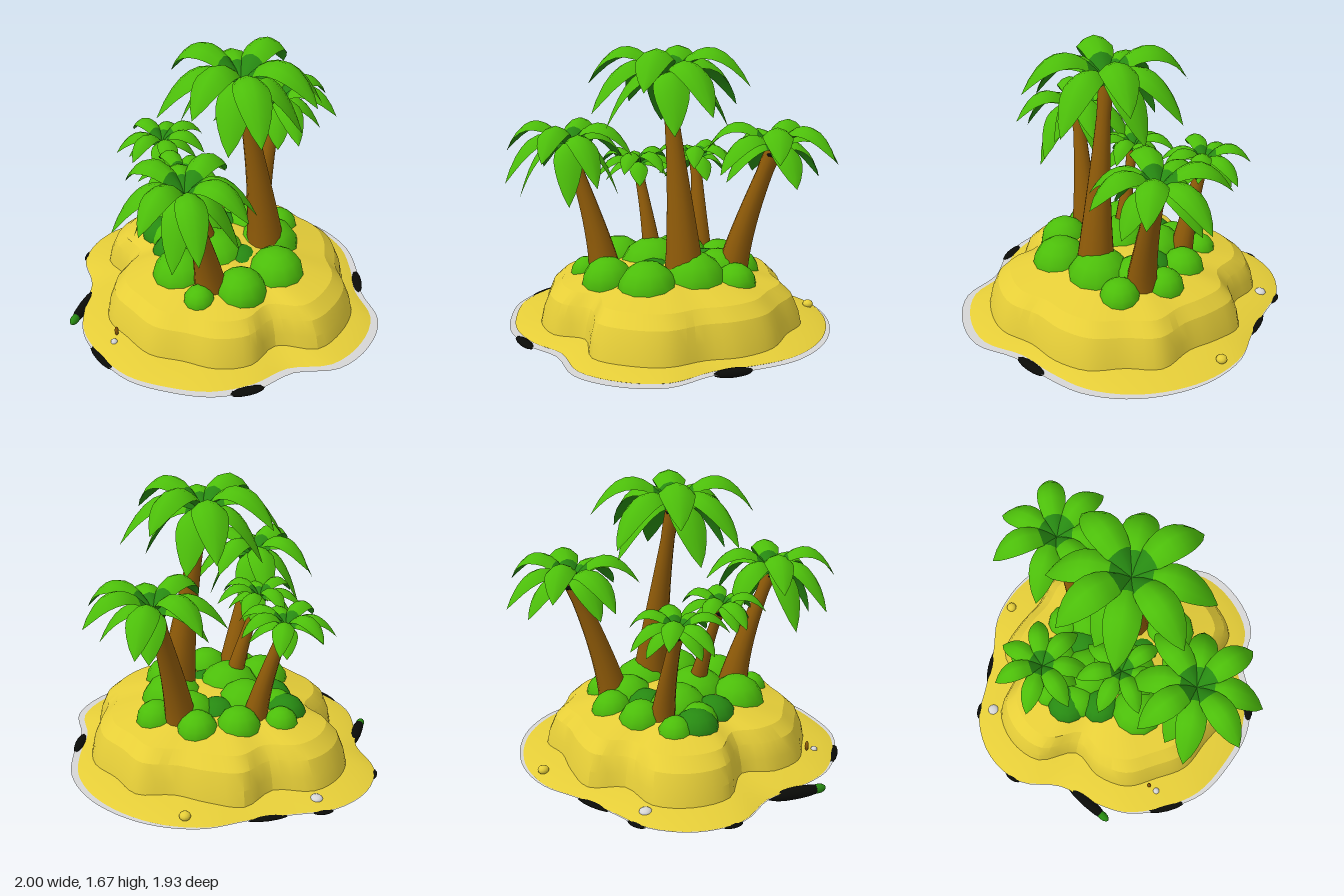
import * as THREE from 'three';
import { mergeGeometries, toCreasedNormals } from 'three/addons/utils/BufferGeometryUtils.js';

const mat = (name, color, side = THREE.FrontSide) => {
  const m = new THREE.MeshStandardMaterial({ color, side });
  m.name = name;
  return m;
};
const V = (x, y, z) => new THREE.Vector3(x, y, z);

// Skin over rows of points; columns wrap around when closed
function skin(rows, closed, flip = false) {
  const n = rows[0].length, pos = [], idx = [];
  rows.forEach(r => r.forEach(p => pos.push(p.x, p.y, p.z)));
  for (let i = 0; i < rows.length - 1; i++) {
    for (let j = 0; j < (closed ? n : n - 1); j++) {
      const k = (j + 1) % n, a = i * n + j, b = a + n, c = i * n + k, d = c + n;
      if (flip) idx.push(a, b, c, c, b, d);
      else idx.push(a, c, b, c, d, b);
    }
  }
  const g = new THREE.BufferGeometry();
  g.setAttribute('position', new THREE.Float32BufferAttribute(pos, 3));
  g.setIndex(idx);
  g.computeVertexNormals();
  return g;
}

// Smooth closed outline from radii (in hundredths) at even angles, from +x towards +z
function outline(radii) {
  const pts = radii.map((r, i) => {
    const a = i / radii.length * Math.PI * 2;
    return V(r / 100 * Math.cos(a), 0, r / 100 * Math.sin(a));
  });
  return new THREE.CatmullRomCurve3(pts, true).getPoints(96).slice(0, -1);
}
const ring = (line, s, y, dx = 0) => line.map(p => V((p.x + dx) * s, y, p.z * s));

const SHORE = [100, 97, 85, 90, 94, 95, 97, 95, 93, 87, 84, 96, 100, 97, 88, 86, 92, 95, 96, 96, 94, 89, 87, 98];
const MOUND = [83, 81, 66, 75, 77, 75, 78, 76, 77, 71, 62, 79, 84, 82, 70, 78, 75, 73, 80, 77, 80, 78, 75, 82];

// Palms: trunk base and top, radii, leaf reach, leaf count, first leaf angle, tip drop
const PALMS = [
  { name: 'tallPalm', base: [0.21, 0.38, -0.15], top: [0.1, 1.5, -0.02], r0: 0.12, r1: 0.035, reach: 0.47, count: 8, start: 0, drop: 0.24 },
  { name: 'backPalm', base: [0, 0.36, -0.38], top: [-0.01, 1.11, -0.61], r0: 0.095, r1: 0.046, reach: 0.39, count: 7, start: -0.22, drop: 0.15 },
  { name: 'frontPalm', base: [0.14, 0.36, 0.35], top: [0.13, 1.1, 0.57], r0: 0.098, r1: 0.036, reach: 0.39, count: 8, start: 0, drop: 0.26 },
  { name: 'leftPalm', base: [-0.33, 0.36, -0.12], top: [-0.48, 0.95, -0.05], r0: 0.075, r1: 0.034, reach: 0.28, count: 7, start: -0.2, drop: 0.09 },
  { name: 'smallPalm', base: [-0.02, 0.38, 0.1], top: [-0.13, 0.96, 0.23], r0: 0.065, r1: 0.028, reach: 0.26, count: 7, start: 0, drop: 0.08 },
];

// Tapering trunk, upright at the foot and slightly flared under the crown
function trunkGeometry({ base, top, r0, r1 }) {
  const a = V(...base), b = V(...top), rows = [];
  const lean = V(b.x - a.x, 0, b.z - a.z);
  for (let i = 0; i <= 12; i++) {
    const t = 1 - i / 12;
    const c = a.clone().addScaledVector(lean, Math.pow(t, 1.3)).setY(a.y + (b.y - a.y) * t);
    const r = r1 + (r0 - r1) * Math.pow(1 - t, 1.5) + (t > 0.9 ? 0.006 : 0);
    rows.push(Array.from({ length: 12 }, (_, j) => {
      const q = j / 12 * Math.PI * 2;
      return V(c.x + r * Math.cos(q), c.y, c.z + r * Math.sin(q));
    }));
  }
  return skin(rows, true);
}

// Leaf placement: a wide ring alternating high and low, then a short drooping ring
function leafPlan({ top, reach, count, start, drop }) {
  const plan = [];
  const put = (angle, r, dy, lift) => plan.push({
    tip: V(top[0] + r * Math.cos(angle), top[1] + dy, top[2] + r * Math.sin(angle)), lift: reach * lift });
  for (let i = 0; i < count; i++) {
    const low = i % 2;
    put(start + i / count * Math.PI * 2, reach, -drop * (low ? 0.7 : 0.15), low ? 0.62 : 0.8);
  }
  for (let i = 0; i < 4; i++) put(start + 1.2 + i / 4 * Math.PI * 2, reach * 0.74, -drop * 1.15, 0.38);
  return plan;
}

// Arched leaf with a centre ridge, built between two of its ten rows; under = the lower face
function leafGeometry({ top, reach }, { tip, lift }, from, to, under = false) {
  const a = V(...top), dir = V(tip.x - a.x, 0, tip.z - a.z), len = dir.length();
  dir.normalize();
  const side = V(-dir.z, 0, dir.x), w = reach * 0.21;
  const mid = a.clone().addScaledVector(dir, len * 0.55).setY(a.y + lift);
  const curve = new THREE.QuadraticBezierCurve3(a, mid, tip), rows = [];
  for (let i = from; i <= to; i++) {
    const t = i / 9, p = curve.getPoint(t);
    const half = w * Math.pow(Math.max(0, Math.sin(Math.PI * (Math.pow(t, 1.15) * 0.93 + 0.07))), 0.8);
    rows.push([-1, -0.55, 0, 0.55, 1].map(s => {
      const q = p.clone().addScaledVector(side, s * half);
      q.y -= half * 0.6 * s * s + (under ? half * 0.25 * (1 - s * s) : 0);
      return q;
    }));
  }
  return skin(rows, false, under);
}

export function createModel() {
  const sand = mat('sand', 0xe6ce38), foam = mat('foam', 0xd6d6d6, THREE.DoubleSide);
  const bark = mat('bark', 0x8e5a08), leaf = mat('leaf', 0x4cbe0a), shade = mat('leafShade', 0x278a12);
  const black = mat('darkRock', 0x0a0b08);
  const model = new THREE.Group();
  model.name = 'palmIsland';
  const add = (name, geo, material, parent = model) => {
    const m = new THREE.Mesh(geo, material);
    m.name = name;
    parent.add(m);
    return m;
  };
  const ball = (name, material, [x, y, z], [sx, sy, sz], turn = 0, parent = model) => {
    const m = add(name, new THREE.SphereGeometry(1, 12, 8), material, parent);
    m.position.set(x, y, z);
    m.scale.set(sx, sy, sz);
    m.rotation.y = turn;
  };

  // Island
  const shore = outline(SHORE), hill = outline(MOUND);
  add('foamRing', skin([ring(shore, 0.9, 0.063), ring(shore, 1, 0.064)], true), foam);
  const beach = [[0.6, 0.14], [0.8, 0.105], [0.9, 0.09], [0.975, 0.068], [0.95, 0.055], [0, 0.055]];
  add('beach', toCreasedNormals(skin(beach.map(([s, y]) => ring(shore, s, y, -0.025)), true), 0.7), sand);
  const mound = [[0, 0.46], [0.3, 0.44], [0.5, 0.4], [0.68, 0.365], [0.83, 0.335], [0.92, 0.27], [0.97, 0.18], [1, 0.07]];
  add('sandMound', toCreasedNormals(skin(mound.map(([s, y]) => ring(hill, s, y)), true), 0.4), sand);

  // Palms: leaves are dark below and at the root, with a dark knob under the crown
  for (const palm of PALMS) {
    const g = new THREE.Group(), plan = leafPlan(palm);
    g.name = palm.name;
    model.add(g);
    add('trunk', trunkGeometry(palm), bark, g);
    add('leafTops', mergeGeometries(plan.map(l => leafGeometry(palm, l, 2, 9))), leaf, g);
    add('leafRoots', mergeGeometries(plan.map(l => leafGeometry(palm, l, 0, 2))), shade, g);
    add('leafUndersides', mergeGeometries(plan.map(l => leafGeometry(palm, l, 0, 9, true))), shade, g);
    const [x, y, z] = palm.top, r = palm.r1 * 1.3;
    ball('crownKnob', black, [x, y - 0.025, z], [r, 0.022, r], 0, g);
  }

  // Bushes: x, z, radius; wider ones stand taller
  [[0, 0.1, 0.2], [0.2, -0.2, 0.19], [0.38, 0.02, 0.17], [-0.2, -0.02, 0.18], [-0.08, 0.34, 0.17], [0.14, 0.47, 0.09],
    [0.3, 0.28, 0.15], [-0.35, 0.08, 0.12], [-0.47, -0.06, 0.1], [-0.3, -0.24, 0.13], [0, -0.3, 0.16],
    [0.14, -0.43, 0.12], [-0.13, -0.4, 0.12]]
    .forEach(([x, z, r], i) => ball('bush' + (i + 1), leaf, [x, 0.35, z], [r, r * 0.95 + 0.01, r], i * 0.7));
  // Darker undergrowth filling the gaps
  [[0.15, 0.05], [-0.25, 0.18], [-0.42, 0.06], [-0.12, -0.2]]
    .forEach(([x, z], i) => ball('undergrowth' + (i + 1), shade, [x, 0.35, z], [0.13, 0.12, 0.13]));

  // Rocks along the waterline, turned to follow it: shore index, half length, half height
  [[13, 0.1, 0.02], [28, 0.12, 0.01], [45, 0.06, 0.01], [53, 0.06, 0.01], [58, 0.12, 0.012], [86, 0.11, 0.025]]
    .forEach(([k, l, h], i) => {
      const p = shore[k], q = shore[k + 1];
      ball('shoreRock' + (i + 1), black, [p.x * 0.985, 0.06, p.z * 0.985], [l, h, 0.03], Math.atan2(p.z - q.z, q.x - p.x));
    });

  // Driftwood with a mossy tip
  ball('driftwood', black, [-0.64, 0.045, 0.59], [0.035, 0.035, 0.18], 0.25);
  ball('driftwoodMoss', shade, [-0.607, 0.045, 0.72], [0.026, 0.027, 0.05], 0.25);

  // Pebbles and shells on the beach
  ball('shell1', foam, [-0.82, 0.09, -0.25], [0.035, 0.02, 0.035]);
  ball('shell2', foam, [-0.24, 0.095, 0.79], [0.02, 0.018, 0.02]);
  ball('pebble', sand, [-0.34, 0.1, -0.8], [0.032, 0.025, 0.032]);
  ball('stick', bark, [-0.26, 0.13, 0.74], [0.012, 0.03, 0.012]);
  return model;
}
